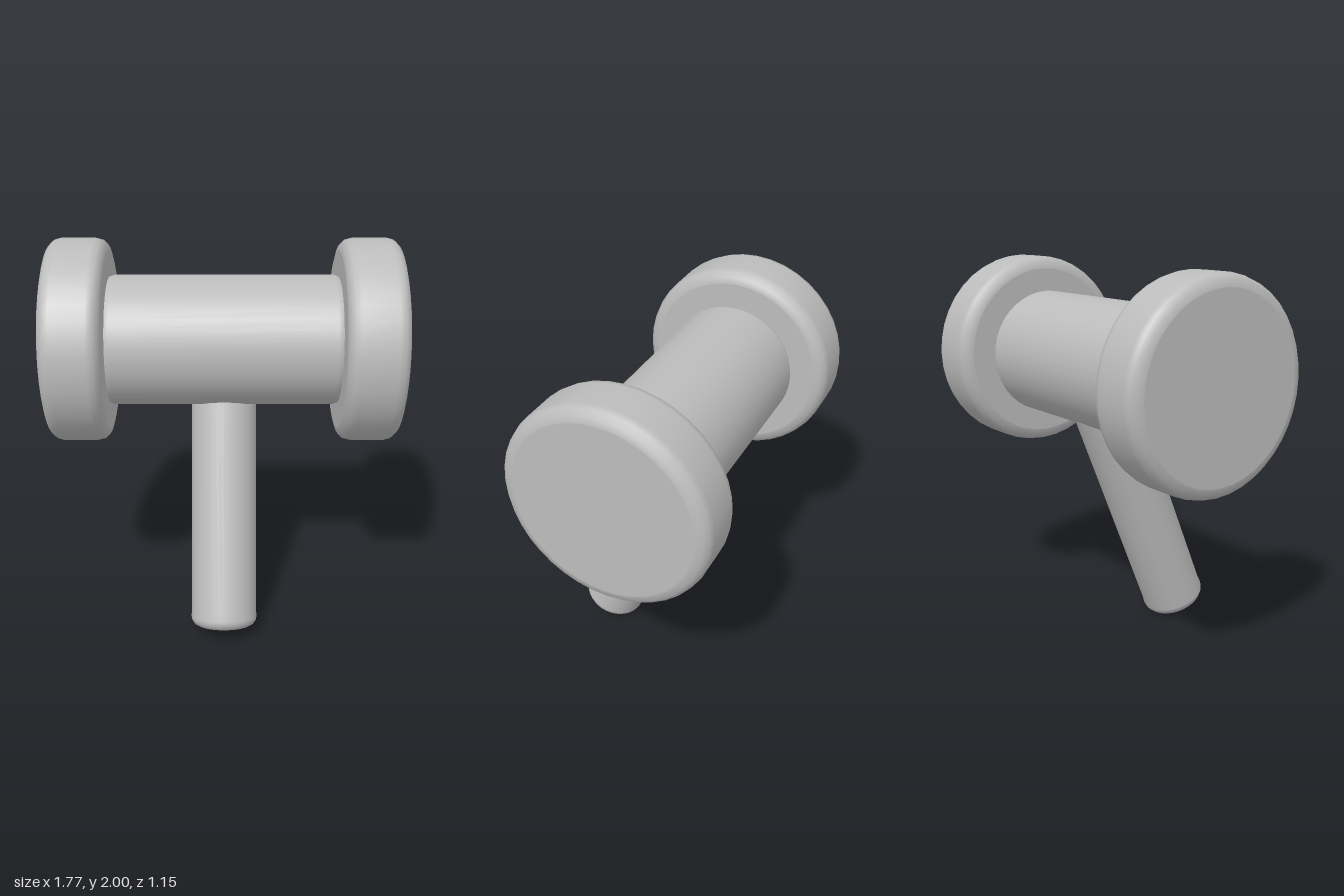
import * as THREE from 'three';

const TILT = Math.PI / 8; // handle lean
const AXIS_Y = 1.48, AXIS_Z = -0.055; // centre line of the head

// Lathe along y; a hair-thin ring beside each flat cap keeps its shading flat.
function turned(points, material, name) {
  const pts = [];
  points.forEach(([r, y], i) => {
    if (i === 1) pts.push(new THREE.Vector2(r - 0.004, y));
    pts.push(new THREE.Vector2(r, y));
    if (i === points.length - 2) pts.push(new THREE.Vector2(r - 0.004, y));
  });
  const mesh = new THREE.Mesh(new THREE.LatheGeometry(pts, 40), material);
  mesh.name = name;
  return mesh;
}

// Disc profile with quarter-round edges of size b
function roundedDisc(r, h, b) {
  const pts = [[0, -h / 2]];
  for (const s of [-1, 1]) {
    for (let i = 0; i <= 3; i++) {
      const a = (s < 0 ? i : 3 - i) / 3 * Math.PI / 2;
      pts.push([r - b + b * Math.sin(a), s * (h / 2 - b + b * Math.cos(a))]);
    }
  }
  pts.push([0, h / 2]);
  return pts;
}

export function createModel() {
  const grey = new THREE.MeshStandardMaterial({ color: 0xbcbcbc });
  grey.name = 'plain grey';
  const model = new THREE.Group();
  model.name = 'mallet';

  // Head: barrel with two striking discs, lying along x
  const head = new THREE.Group();
  head.name = 'head';
  head.position.set(0, AXIS_Y, AXIS_Z);
  head.rotation.z = -Math.PI / 2;
  head.add(turned(
    [[0, -0.6], [0.318, -0.6], [0.325, -0.585], [0.335, -0.56],
      [0.335, 0.56], [0.325, 0.585], [0.318, 0.6], [0, 0.6]], grey, 'barrel'));
  for (const side of [-1, 1]) {
    const disc = turned(roundedDisc(0.52, 0.3, 0.063), grey, side > 0 ? 'leftDisc' : 'rightDisc');
    disc.position.y = side * 0.735;
    head.add(disc);
  }
  model.add(head);

  // Handle leaning forward, with a rounded butt and its top buried in the barrel
  const handle = turned(
    [[0, 0], [0.135, 0], [0.157, 0.012], [0.17, 0.032], [0.173, 0.05], [0.17, 0.076],
      [0.17, 1.35], [0, 1.35]], grey, 'handle');
  handle.position.set(0, 0.052, 0.432);
  handle.rotation.x = -TILT;
  model.add(handle);

  return model;
}
